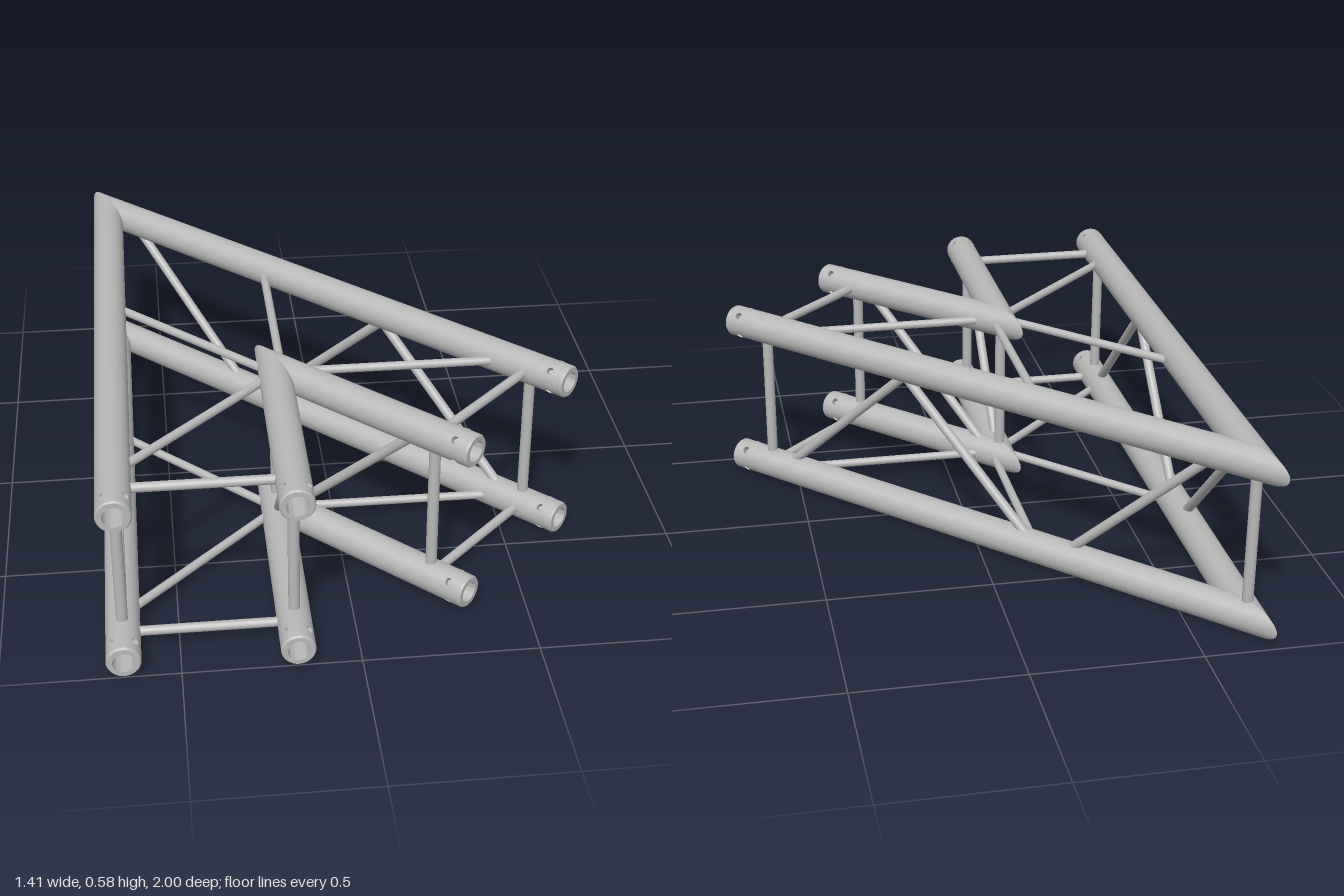
import * as THREE from 'three';
import { toCreasedNormals } from 'three/addons/utils/BufferGeometryUtils.js';
import { ParametricGeometry } from 'three/addons/geometries/ParametricGeometry.js';

const R = 0.049;                      // chord radius
const GAP = 0.48;                     // chord spacing
const LEVELS = [R, R + GAP];          // heights of the lower and upper chords
const LEN = 1.882;                    // outer corner to open end
const MITER = 1 / Math.tan(Math.PI / 8);
const START = GAP * MITER;            // where the inner corner lies along a leg
const SLEEVE = 0.09, LIP = 0.006, BORE = 0.031, HOLE = 0.011;

const metal = new THREE.MeshStandardMaterial({ color: 0xb8b8b8, side: THREE.DoubleSide });
metal.name = 'aluminium grey';

function add(parent, name, geometry) {
  const mesh = new THREE.Mesh(geometry, metal);
  mesh.name = name;
  parent.add(mesh);
  return mesh;
}

// Round bar between two points
function bar(parent, name, a, b, radius) {
  const dir = b.clone().sub(a);
  const mesh = add(parent, name, new THREE.CylinderGeometry(radius, radius, dir.length(), 20, 1, true));
  mesh.position.copy(a).addScaledVector(dir, 0.5);
  mesh.quaternion.setFromUnitVectors(new THREE.Vector3(0, 1, 0), dir.normalize());
}

// Quarter of the end sleeve, wrapped round the chord, with one pin hole
function sleevePatch(angle, zMid) {
  const hw = R * Math.PI / 4, hl = (SLEEVE - LIP) / 2;
  return new ParametricGeometry((u, v, target) => {
    const t = u * Math.PI * 2, c = Math.cos(t), s = Math.sin(t);
    const k = 1 / Math.max(Math.abs(c), Math.abs(s));
    const across = THREE.MathUtils.lerp(HOLE * c, hw * k * c, v);
    const along = THREE.MathUtils.lerp(HOLE * s, hl * k * s, v);
    const a = angle + across / R;
    target.set(R * Math.cos(a), R * Math.sin(a), zMid + along);
  }, 40, 6);
}

// Tube along +z: mitred at the corner, bored and drilled at the open end
function chord(parent, name, length, side) {
  const group = new THREE.Group();
  group.name = name;
  parent.add(group);

  const body = length - SLEEVE;
  const tube = new THREE.CylinderGeometry(R, R, body, 48, 1, true);
  tube.rotateX(Math.PI / 2).translate(0, 0, body / 2);
  const p = tube.attributes.position;
  for (let i = 0; i < p.count; i++) {
    if (p.getZ(i) < 0.001) p.setZ(i, MITER * side * p.getX(i));
  }
  add(group, 'chordTube', tube);

  // Chamfered rim, bore and closed bottom of the bore
  const profile = [
    [R, length - LIP], [R - 0.004, length], [BORE, length],
    [BORE, length - SLEEVE], [0.0001, length - SLEEVE],
  ].map(([x, y]) => new THREE.Vector2(x, y));
  const socket = new THREE.LatheGeometry(profile, 48).rotateX(Math.PI / 2);
  add(group, 'endSocket', toCreasedNormals(socket, 0.5));

  const zMid = length - (SLEEVE + LIP) / 2;
  for (let i = 0; i < 4; i++) {
    const angle = Math.PI / 4 + i * Math.PI / 2;
    add(group, 'endSleeve', sleevePatch(angle, zMid));
    // Wall of the pin hole
    const depth = R - BORE, mid = (R + BORE) / 2;
    const wall = new THREE.CylinderGeometry(HOLE, HOLE, depth, 20, 1, true);
    wall.translate(0, mid, 0).rotateZ(angle - Math.PI / 2).translate(0, 0, zMid);
    add(group, 'pinHole', wall);
  }
  return group;
}

// One leg of the corner; side is +1 or -1 for the direction of its inner chords
function leg(side) {
  const group = new THREE.Group();
  const at = (across, along, y) => new THREE.Vector3(side * across, y, along);
  const [low, high] = LEVELS;
  const END = 1.746;

  for (const y of LEVELS) {
    chord(group, 'outerChord', LEN, side).position.set(0, y, 0);
    chord(group, 'innerChord', LEN - START, side).position.set(side * GAP, y, START);

    // Level braces
    bar(group, 'crossBar', at(0, END, y), at(GAP, END, y), 0.014);
    for (const along of [0.705, 1.67]) {
      bar(group, 'levelDiagonal', at(0, along, y), at(GAP, START + 0.03, y), 0.013);
    }
  }

  // Posts near the open end
  for (const across of [0, GAP]) {
    bar(group, 'endPost', at(across, END, low), at(across, END, high), 0.0165);
  }

  // Upright zigzag braces: across, lower end, upper end
  const diagonals = [
    [0, 0.62, 0.115], [0, 0.71, 1.23], [0, 1.69, 1.16],
    [GAP, START + 0.04, START + 0.545],
  ];
  for (const [across, a, b] of diagonals) {
    bar(group, 'uprightDiagonal', at(across, a, low), at(across, b, high), 0.015);
  }
  return group;
}

export function createModel() {
  const model = new THREE.Group();
  model.name = 'trussCorner';
  const corner = new THREE.Group();
  corner.name = 'corner';
  corner.position.set(-0.657, 0, -0.882);
  model.add(corner);

  const straight = leg(1);
  straight.name = 'rightLeg';
  const angled = leg(-1);
  angled.name = 'leftLeg';
  angled.rotation.y = Math.PI / 4;
  corner.add(straight, angled);

  // Posts shared by both legs at the two mitred corners
  for (const [x, z] of [[0, 0], [GAP, START]]) {
    bar(corner, 'cornerPost', new THREE.Vector3(x, LEVELS[0], z), new THREE.Vector3(x, LEVELS[1], z), 0.0165);
  }
  return model;
}
